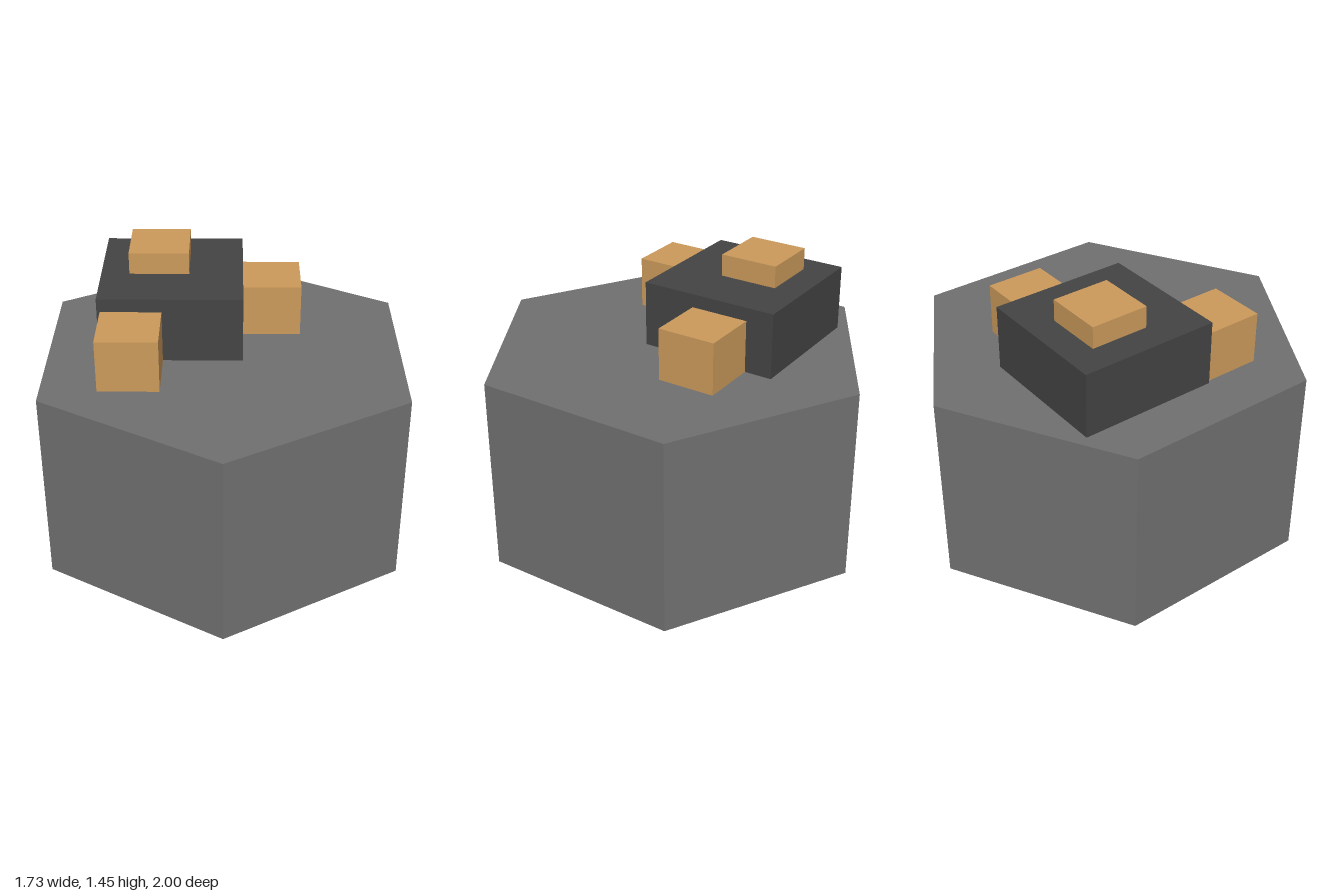
import * as THREE from 'three';

const material = (color) => new THREE.MeshStandardMaterial({ color, flatShading: true });

// Box given by its lower and upper limits on each axis
function block(name, mat, [x0, x1], [y0, y1], [z0, z1]) {
  const mesh = new THREE.Mesh(new THREE.BoxGeometry(x1 - x0, y1 - y0, z1 - z0), mat);
  mesh.position.set((x0 + x1) / 2, (y0 + y1) / 2, (z0 + z1) / 2);
  mesh.name = name;
  return mesh;
}

export function createModel() {
  const group = new THREE.Group();
  group.name = 'hexTile';
  const stone = material(0x707070);
  const dark = material(0x444444);
  const wood = material(0xcc9a5b);

  // Hexagonal base with corners on the z axis
  const base = new THREE.Mesh(new THREE.CylinderGeometry(1, 1, 1, 6), stone);
  base.position.y = 0.5;
  base.name = 'hexBase';
  group.add(base);

  // Main building with its roof box and two annexes
  group.add(
    block('mainBlock', dark, [-0.61, 0.09], [1, 1.33], [-0.585, 0.12]),
    block('roofBox', wood, [-0.47, -0.175], [1.335, 1.445], [-0.445, -0.15]),
    block('leftAnnex', wood, [0.09, 0.38], [1, 1.263], [-0.445, -0.15]),
    block('frontAnnex', wood, [-0.595, -0.3], [1, 1.263], [0.12, 0.415])
  );
  return group;
}
